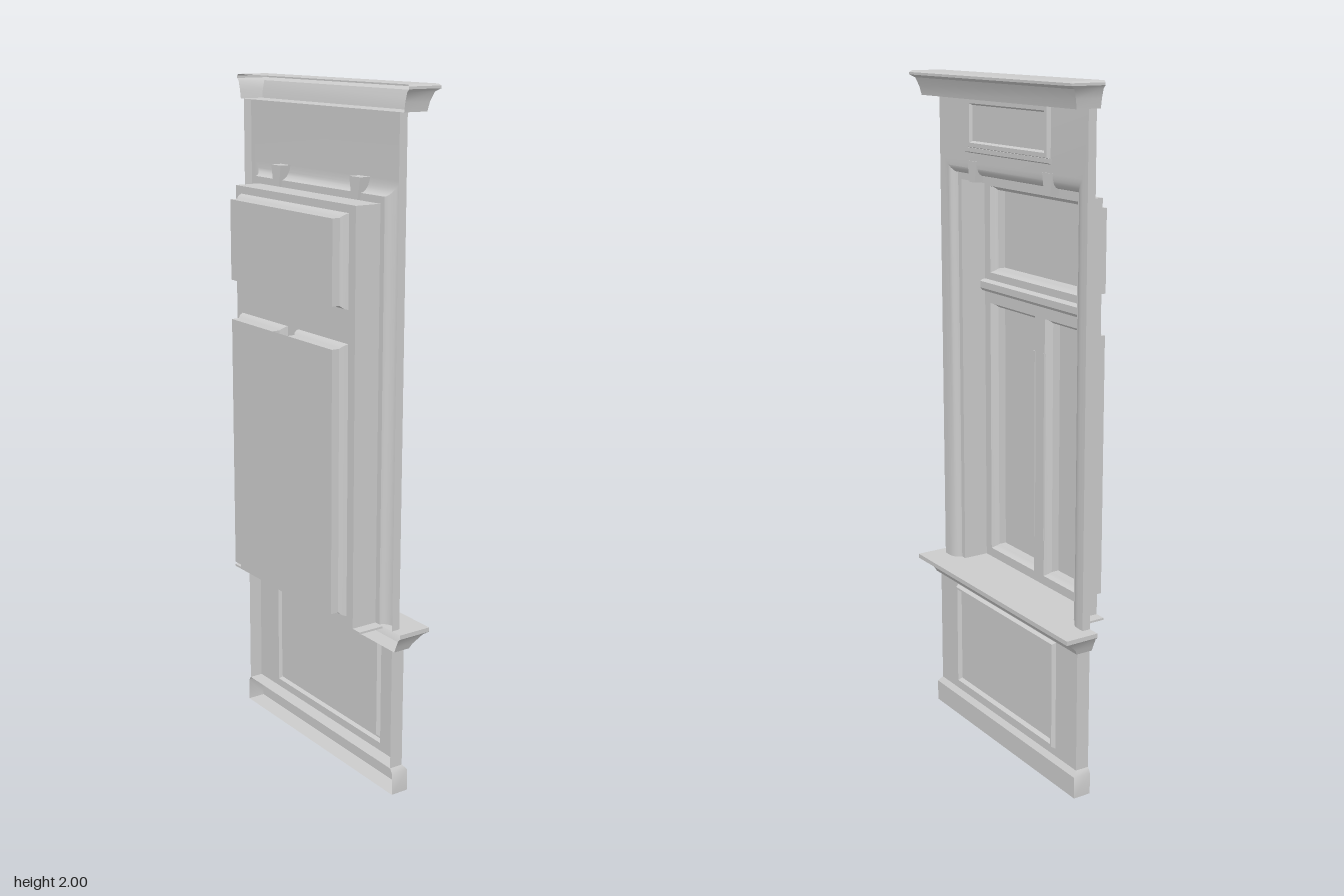
import * as THREE from 'three';
import { toCreasedNormals } from 'three/addons/utils/BufferGeometryUtils.js';

const material = new THREE.MeshStandardMaterial({ color: 0xcccccc, side: THREE.DoubleSide });
const BACK = 0.01; // plane of the open back

// Skin between successive loops of points; closed joins each loop's last point to its first
function skin(loops, closed) {
  const pos = [], n = loops[0].length;
  const area = new THREE.Triangle();
  const tri = (a, b, c) => {
    area.set(a, b, c);
    if (area.getArea() > 1e-8) [a, b, c].forEach((p) => pos.push(p.x, p.y, p.z));
  };
  for (let i = 0; i + 1 < loops.length; i++) {
    for (let j = 0; j < (closed ? n : n - 1); j++) {
      const k = (j + 1) % n, [p, q] = [loops[i], loops[i + 1]];
      tri(p[j], p[k], q[k]);
      tri(p[j], q[k], q[j]);
    }
  }
  const g = new THREE.BufferGeometry();
  g.setAttribute('position', new THREE.Float32BufferAttribute(pos, 3));
  return toCreasedNormals(g, 0.6);
}

// Rectangular rings [x0, x1, y0, y1, z], joined front to back
function rectLoft(rings) {
  return skin(rings.map(([x0, x1, y0, y1, z]) =>
    [[x0, y0], [x1, y0], [x1, y1], [x0, y1]].map(([x, y]) => new THREE.Vector3(x, y, z))), true);
}

// Moulding that wraps the front and both ends: profile of [halfWidth, frontZ, y]
function wrapMoulding(profile) {
  return skin(profile.map(([h, z, y]) =>
    [[-h, BACK], [-h, z], [h, z], [h, BACK]].map(([x, d]) => new THREE.Vector3(x, y, d))), false);
}

// Ring inset evenly from a rectangle
const inset = ([x0, x1, y0, y1], d, z) => [x0 + d, x1 - d, y0 + d, y1 - d, z];
// Ring that collapses to a flat centre
const fill = ([x0, x1, y0, y1], z) => {
  const x = (x0 + x1) / 2, y = (y0 + y1) / 2;
  return [x, x, y, y, z];
};

export function createModel() {
  const model = new THREE.Group();
  model.name = 'panelledWindow';
  const body = new THREE.Group();
  body.name = 'windowBody';
  body.rotation.y = Math.PI / 2; // window looks toward +x
  model.add(body);
  const add = (name, geometry, x = 0, y = 0, z = 0) => {
    const m = new THREE.Mesh(geometry, material);
    m.name = name;
    m.position.set(x, y, z);
    body.add(m);
    return m;
  };

  // Plinth, sill and cornice
  add('plinth', wrapMoulding([[0.385, BACK, 0], [0.385, 0.065, 0], [0.385, 0.065, 0.065],
    [0.375, 0.052, 0.08]]));
  add('sill', wrapMoulding([[0.375, 0.05, 0.445], [0.386, 0.062, 0.445], [0.392, 0.07, 0.46],
    [0.403, 0.098, 0.485], [0.411, 0.113, 0.492], [0.411, 0.113, 0.505], [0.411, BACK, 0.505]]));
  add('cornice', wrapMoulding([[0.375, 0.035, 1.93], [0.392, 0.085, 1.93], [0.396, 0.09, 1.955],
    [0.403, 0.1, 1.98], [0.411, 0.115, 1.988], [0.411, 0.115, 1.995], [0.406, 0.108, 2], [0.406, BACK, 2]]));

  // Apron below the sill, with a moulded panel
  const apron = [-0.265, 0.265, 0.11, 0.43];
  add('apron', rectLoft([
    [-0.375, 0.375, 0.08, 0.445, BACK], [-0.375, 0.375, 0.08, 0.445, 0.052],
    inset(apron, -0.006, 0.052), inset(apron, 0, 0.063), inset(apron, 0.006, 0.063),
    inset(apron, 0.014, 0.052), fill(apron, 0.052)]));

  // Wall face, rounded opening edge and straight reveal
  const rings = [[-0.375, 0.375, 0.505, 1.93, BACK], [-0.375, 0.375, 0.505, 1.93, 0.035]];
  for (let i = 0; i <= 6; i++) {
    const a = (i / 6) * Math.PI / 2;
    const grow = 0.037 * (1 - Math.sin(a));
    rings.push([-0.315 - grow, 0.315 + grow, 0.505, 1.71 + grow * 1.1, BACK + 0.025 * Math.cos(a)]);
  }
  rings.push([-0.297, 0.297, 0.505, 1.69, BACK], [-0.297, 0.297, 0.505, 1.69, -0.07]);
  add('wallAndReveal', rectLoft(rings));
  add('revealFloor', new THREE.BoxGeometry(0.66, 0.006, 0.08), 0, 0.502, -0.03);

  // Frame face with a transom light and two casements
  const openings = [[-0.267, 0.267, 1.41, 1.668], [-0.267, -0.026, 0.533, 1.317], [0.026, 0.267, 0.533, 1.317]];
  const face = new THREE.Shape([[-0.297, 0.505], [0.297, 0.505], [0.297, 1.69], [-0.297, 1.69]]
    .map(([x, y]) => new THREE.Vector2(x, y)));
  for (const [x0, x1, y0, y1] of openings) {
    face.holes.push(new THREE.Path([[x0, y0], [x0, y1], [x1, y1], [x1, y0]]
      .map(([x, y]) => new THREE.Vector2(x, y))));
  }
  add('windowFrame', new THREE.ShapeGeometry(face), 0, 0, -0.07);
  for (const o of openings) {
    add('sashMoulding', rectLoft([inset(o, 0, -0.07), inset(o, 0.003, -0.079), inset(o, 0.007, -0.086),
      inset(o, 0.012, -0.091), inset(o, 0.012, -0.115)]));
  }
  add('transomPane', new THREE.PlaneGeometry(0.51, 0.234), 0, 1.539, -0.115);
  add('casementPane', new THREE.PlaneGeometry(0.51, 0.76), 0, 0.925, -0.115);

  // Transom bar and central meeting stile
  add('transomBar', rectLoft([[-0.297, 0.297, 1.35, 1.388, -0.07], [-0.297, 0.297, 1.353, 1.386, -0.06],
    [-0.297, 0.297, 1.362, 1.382, -0.053], fill([-0.297, 0.297, 1.362, 1.382], -0.053)]));
  for (const s of [-1, 1]) {
    add('stileEdge', new THREE.BoxGeometry(0.006, 0.57, 0.01), s * 0.024, 0.93, -0.072);
  }

  // Frieze panel with its ledge
  const frieze = [-0.205, 0.205, 1.79, 1.93];
  add('friezePanel', rectLoft([inset(frieze, 0, 0.035), inset(frieze, 0.003, 0.047), inset(frieze, 0.015, 0.047),
    inset(frieze, 0.02, 0.038), fill(frieze, 0.038)]));
  add('friezeLedge', rectLoft([[-0.21, 0.21, 1.775, 1.79, 0.035], [-0.215, 0.215, 1.78, 1.792, 0.05],
    fill([-0.215, 0.215, 1.78, 1.792], 0.05)]));

  // Tapered brackets hanging over the opening
  const bracket = new THREE.Shape([[-0.025, 0.06], [-0.014, 0], [0.014, 0], [0.025, 0.06]]
    .map(([x, y]) => new THREE.Vector2(x, y)));
  const bracketGeometry = new THREE.ExtrudeGeometry(bracket, { depth: 0.035, bevelEnabled: false });
  for (const s of [-1, 1]) add('bracket', bracketGeometry, s * 0.192, 1.692, 0.002);

  return model;
}
